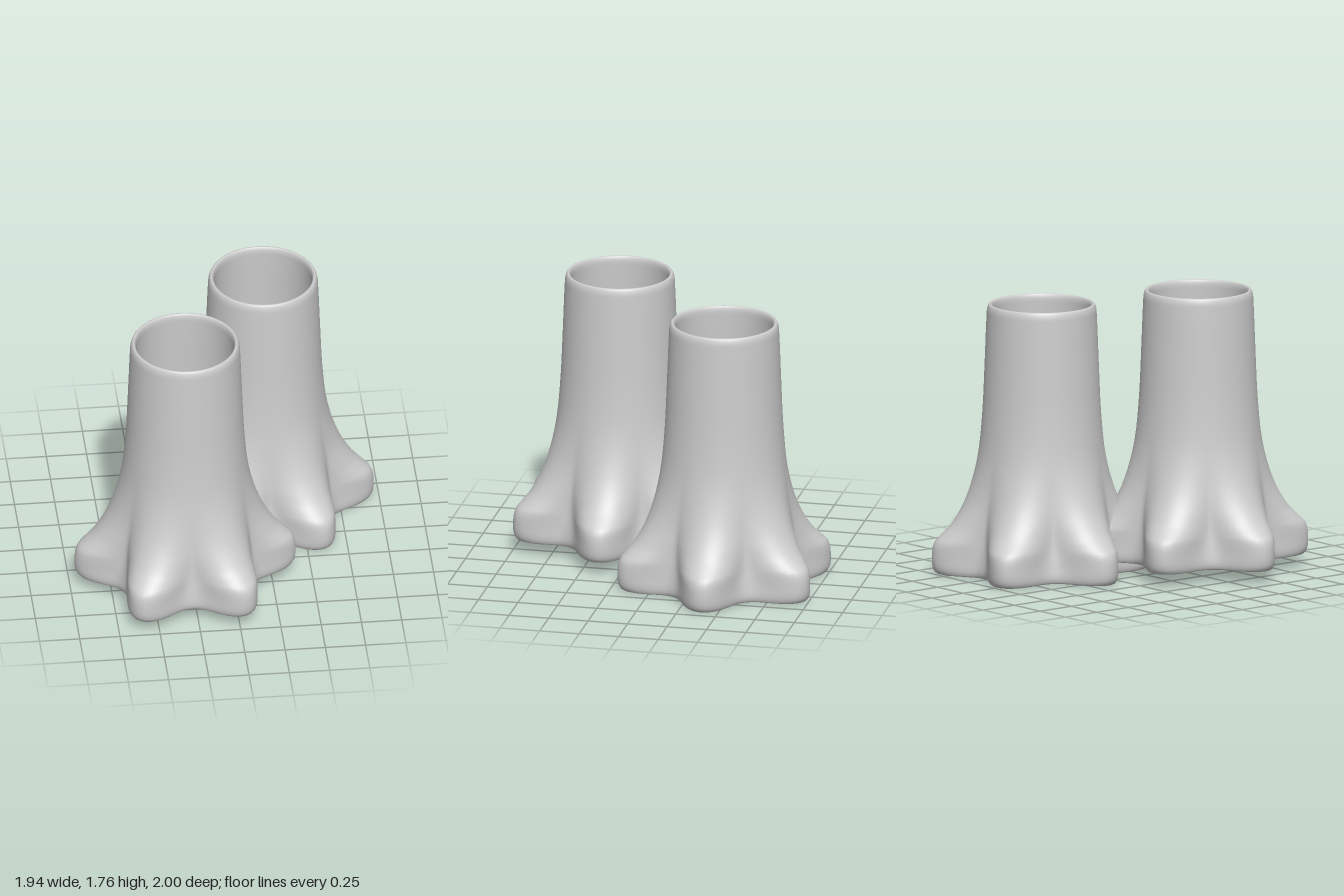
import * as THREE from 'three';

// Wall section: [height, radius in the valleys, radius at the lobe tips]
// up the outside, over the rim, down the inside and round the foot.
const SECTION = [
  [0.00, 0.468, 0.655], [0.03, 0.482, 0.680], [0.11, 0.474, 0.687], [0.19, 0.460, 0.672],
  [0.24, 0.452, 0.626], [0.30, 0.444, 0.567], [0.42, 0.430, 0.492], [0.57, 0.409, 0.434],
  [0.75, 0.386, 0.392], [1.00, 0.366, 0.367], [1.30, 0.353, 0.353], [1.60, 0.341, 0.341],
  [1.650, 0.337, 0.337], [1.676, 0.326, 0.326], [1.676, 0.312, 0.312], [1.655, 0.304, 0.304],
  [1.60, 0.304, 0.304], [1.30, 0.316, 0.316], [1.00, 0.330, 0.330], [0.75, 0.349, 0.355],
  [0.57, 0.372, 0.395], [0.42, 0.394, 0.452], [0.30, 0.410, 0.524], [0.22, 0.421, 0.588],
  [0.11, 0.437, 0.637], [0.03, 0.448, 0.640],
];

// Six lobes: rounded valleys at the foot, tighter grooves higher up
function lobe(a, y) {
  const wave = Math.abs(Math.cos(3 * a));
  return Math.pow(wave, 2.5 - 1.2 * THREE.MathUtils.smoothstep(y, 0.08, 0.36));
}

function flaredTubeGeometry(around = 144, along = 104) {
  const curve = new THREE.CatmullRomCurve3(
    SECTION.map(([y, valley, tip]) => new THREE.Vector3(valley, y, tip)), true);
  const rows = curve.getPoints(along).slice(0, along);
  const pos = [], index = [];
  rows.forEach((p, j) => {
    for (let i = 0; i < around; i++) {
      const a = (i / around) * Math.PI * 2;
      const r = p.x + (p.z - p.x) * lobe(a, p.y);
      pos.push(r * Math.cos(a), Math.max(0, p.y), r * Math.sin(a));
      const i2 = (i + 1) % around, j2 = (j + 1) % along;
      const A = j * around + i, B = j * around + i2;
      const C = j2 * around + i, D = j2 * around + i2;
      index.push(A, C, B, B, C, D);
    }
  });
  const g = new THREE.BufferGeometry();
  g.setAttribute('position', new THREE.Float32BufferAttribute(pos, 3));
  g.setIndex(index);
  g.computeVertexNormals();
  return g;
}

export function createModel() {
  const group = new THREE.Group();
  const grey = new THREE.MeshStandardMaterial({ color: 0xcccccc });
  grey.name = 'plain grey';
  const geometry = flaredTubeGeometry();

  // Two equal tubes, the front one raised slightly
  for (const [name, x, y, z] of [
    ['frontFlaredTube', -0.283, 0.078, 0.392],
    ['backFlaredTube', 0.283, 0, -0.395],
  ]) {
    const tube = new THREE.Mesh(geometry, grey);
    tube.name = name;
    tube.position.set(x, y, z);
    group.add(tube);
  }
  return group;
}
